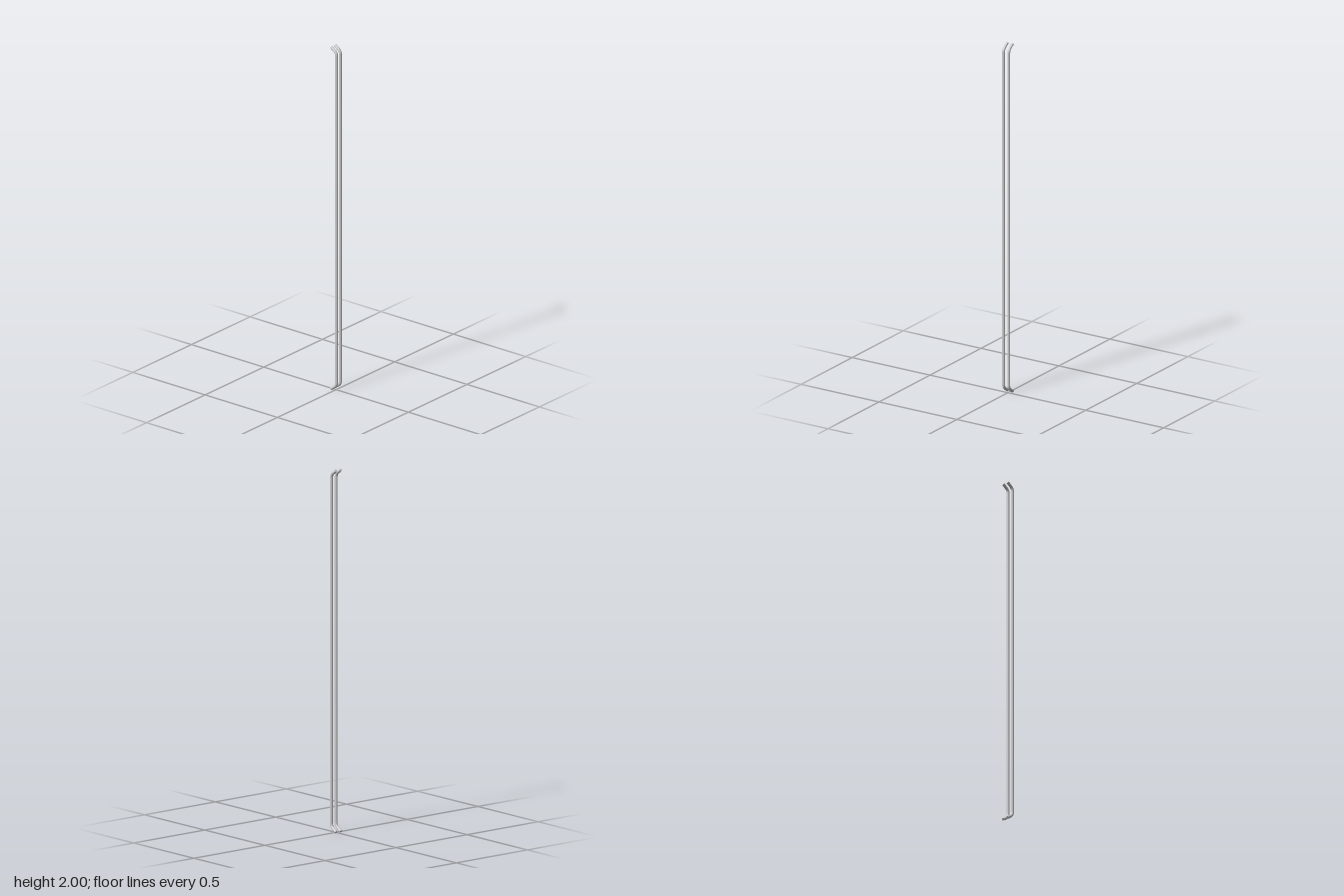
import * as THREE from 'three';

const RADIUS = 0.008, SIDES = 16;
const SHAFT_X = 0.0165, SHAFT_Z = 0.017;
const TILT = THREE.MathUtils.degToRad(35); // rise of the bent ends

// Curve through stations, so the long straight shaft needs only one segment
class StationCurve extends THREE.Curve {
  constructor(points, tangents) {
    super();
    this.points = points;
    this.tangents = tangents;
  }
  index(t) { return Math.round(t * (this.points.length - 1)); }
  getPoint(t, target = new THREE.Vector3()) { return target.copy(this.points[this.index(t)]); }
  getPointAt(t, target) { return this.getPoint(t, target); }
  getTangent(t, target = new THREE.Vector3()) { return target.copy(this.tangents[this.index(t)]); }
  getTangentAt(t, target) { return this.getTangent(t, target); }
}

function rodCurve() {
  // Upper end: shaft, rounded bend, then a short tilted tip
  const tip = new THREE.Vector3(0, 2 - RADIUS * Math.cos(TILT), -0.0205);
  const dir = new THREE.Vector3(0, Math.sin(TILT), -Math.cos(TILT));
  const corner = tip.clone().addScaledVector(dir, (tip.z - SHAFT_Z) / Math.cos(TILT));
  const reach = 0.018;
  const bend = new THREE.QuadraticBezierCurve3(
    corner.clone().setY(corner.y - reach), corner, corner.clone().addScaledVector(dir, reach));
  const points = bend.getPoints(8);
  const tangents = points.map((_, i) => bend.getTangent(i / 8));
  points.push(tip);
  tangents.push(dir);

  // Lower end mirrors the upper one about mid-height
  const lower = points.map(p => new THREE.Vector3(p.x, 2 - p.y, p.z)).reverse();
  const lowerTangents = tangents.map(t => new THREE.Vector3(t.x, t.y, -t.z)).reverse();
  return new StationCurve([...lower, ...points], [...lowerTangents, ...tangents]);
}

export function createModel() {
  const model = new THREE.Group();
  model.name = 'bentRodPair';
  const material = new THREE.MeshStandardMaterial({ color: 0xcccccc });
  const curve = rodCurve();
  const tube = new THREE.TubeGeometry(curve, curve.points.length - 1, RADIUS, SIDES, false);
  const disc = new THREE.CircleGeometry(RADIUS, SIDES);

  for (const [side, name] of [[1, 'leftRod'], [-1, 'rightRod']]) {
    const rod = new THREE.Group();
    rod.name = name;
    rod.position.x = side * SHAFT_X;
    const shaft = new THREE.Mesh(tube, material);
    shaft.name = 'rodShaft';
    rod.add(shaft);

    // Flat end caps
    for (const [t, sign, capName] of [[0, -1, 'lowerCap'], [1, 1, 'upperCap']]) {
      const cap = new THREE.Mesh(disc, material);
      cap.name = capName;
      cap.position.copy(curve.getPoint(t));
      cap.quaternion.setFromUnitVectors(
        new THREE.Vector3(0, 0, 1), curve.getTangent(t).multiplyScalar(sign));
      rod.add(cap);
    }
    model.add(rod);
  }
  return model;
}
